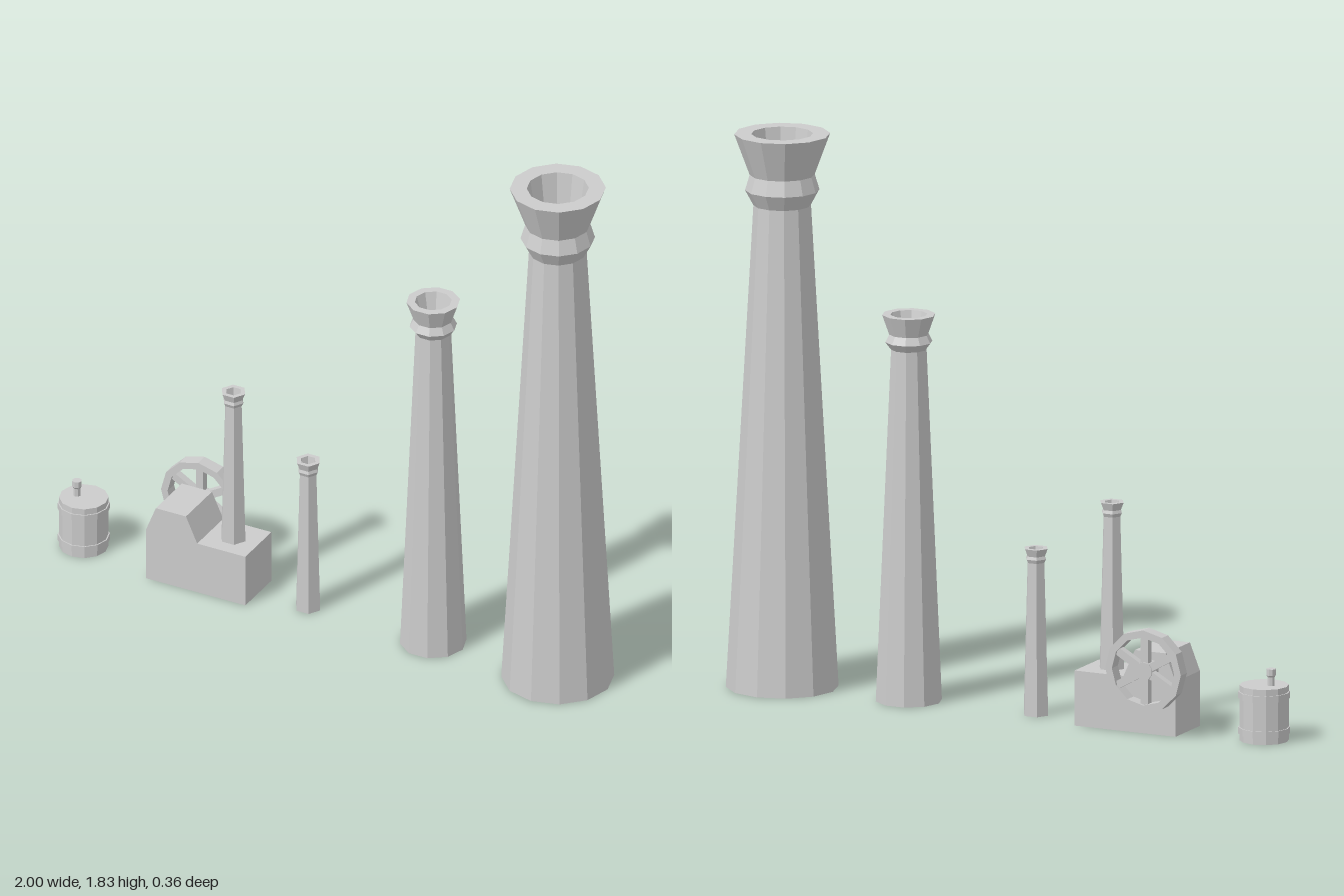
import * as THREE from 'three';

const mat = new THREE.MeshStandardMaterial({ color: 0xcccccc, flatShading: true });

function add(parent, name, geometry, x = 0, y = 0, z = 0) {
  const mesh = new THREE.Mesh(geometry, mat);
  mesh.name = name;
  mesh.position.set(x, y, z);
  parent.add(mesh);
  return mesh;
}

// Faceted solid of revolution from [radius, height] pairs, with a corner on +x
function turned(profile, sides) {
  const points = profile.map(([r, y]) => new THREE.Vector2(r, y));
  return new THREE.LatheGeometry(points, sides, Math.PI / 2);
}

// Tapered stack: closed base, collar, flared mouth and a recessed flue
function stack({ base, neck, collar, waist, mouth, flue, floor, sides, y }) {
  return turned([
    [0, 0], [base, 0], [neck, y[0]], [collar, y[1]], [waist, y[2]],
    [mouth, y[3]], [flue, y[3]], [floor, y[0]], [0, y[0]],
  ], sides);
}

function flywheel() {
  const wheel = new THREE.Group();
  wheel.name = 'flywheel';
  const outer = 0.136, inner = 0.112, depth = 0.044;

  // Rim
  const ring = (r) => Array.from({ length: 12 }, (_, i) => {
    const a = i * Math.PI / 6;
    return new THREE.Vector2(Math.cos(a) * r, Math.sin(a) * r);
  });
  const rim = new THREE.Shape(ring(outer));
  rim.holes.push(new THREE.Path(ring(inner)));
  add(wheel, 'wheelRim', new THREE.ExtrudeGeometry(rim, { depth, bevelEnabled: false }), 0, 0, -depth / 2);

  // Spokes
  for (let i = 0; i < 6; i++) {
    const a = Math.PI / 2 + i * Math.PI / 3;
    const spoke = add(wheel, 'wheelSpoke', new THREE.BoxGeometry(0.114, 0.026, 0.026),
      Math.cos(a) * 0.057, Math.sin(a) * 0.057, 0);
    spoke.rotation.z = a;
  }

  // Hub and axle reaching into the engine block
  add(wheel, 'wheelHub', new THREE.CylinderGeometry(0.03, 0.03, 0.036, 10)).rotation.x = Math.PI / 2;
  add(wheel, 'wheelAxle', new THREE.CylinderGeometry(0.028, 0.028, 0.08, 10), 0, 0, 0.035).rotation.x = Math.PI / 2;
  return wheel;
}

export function createModel() {
  const model = new THREE.Group();
  model.name = 'chimneySet';

  // Large and medium chimneys
  add(model, 'largeChimney', stack({
    base: 0.182, neck: 0.093, collar: 0.12, waist: 0.105, mouth: 0.155,
    flue: 0.1, floor: 0.065, sides: 12, y: [1.59, 1.64, 1.69, 1.825],
  }), 0.815);
  add(model, 'mediumChimney', stack({
    base: 0.108, neck: 0.058, collar: 0.077, waist: 0.064, mouth: 0.087,
    flue: 0.06, floor: 0.03, sides: 10, y: [1.16, 1.185, 1.21, 1.275],
  }), 0.36);

  // Small chimney, also used on the engine
  const small = stack({
    base: 0.044, neck: 0.03, collar: 0.036, waist: 0.032, mouth: 0.042,
    flue: 0.026, floor: 0.018, sides: 6, y: [0.503, 0.515, 0.525, 0.55],
  });
  add(model, 'smallChimney', small, -0.097);

  // Steam engine: stepped block, chimney and flywheel
  const engine = new THREE.Group();
  engine.name = 'steamEngine';
  model.add(engine);
  const block = new THREE.Shape([
    [-0.643, 0], [-0.28, 0], [-0.28, 0.182], [-0.456, 0.182],
    [-0.497, 0.272], [-0.607, 0.272], [-0.643, 0.182],
  ].map(([x, y]) => new THREE.Vector2(x, y)));
  add(engine, 'engineBlock', new THREE.ExtrudeGeometry(block, { depth: 0.177, bevelEnabled: false }), 0, 0, -0.09);
  add(engine, 'engineChimney', small, -0.37, 0.181);
  const wheel = flywheel();
  wheel.position.set(-0.556, 0.219, -0.128);
  engine.add(wheel);

  // Barrel with two hoops and a capped spout
  const barrel = new THREE.Group();
  barrel.name = 'barrel';
  barrel.position.x = -0.917;
  model.add(barrel);
  add(barrel, 'barrelBody', new THREE.CylinderGeometry(0.08, 0.08, 0.182, 12), 0, 0.091);
  for (const y of [0.033, 0.15]) {
    add(barrel, 'barrelHoop', new THREE.CylinderGeometry(0.084, 0.084, 0.022, 12), 0, y);
  }
  add(barrel, 'barrelSpout', turned([
    [0, 0], [0.012, 0], [0.012, 0.028], [0.016, 0.034], [0.016, 0.055], [0, 0.055],
  ], 8), -0.025, 0.182);

  return model;
}
